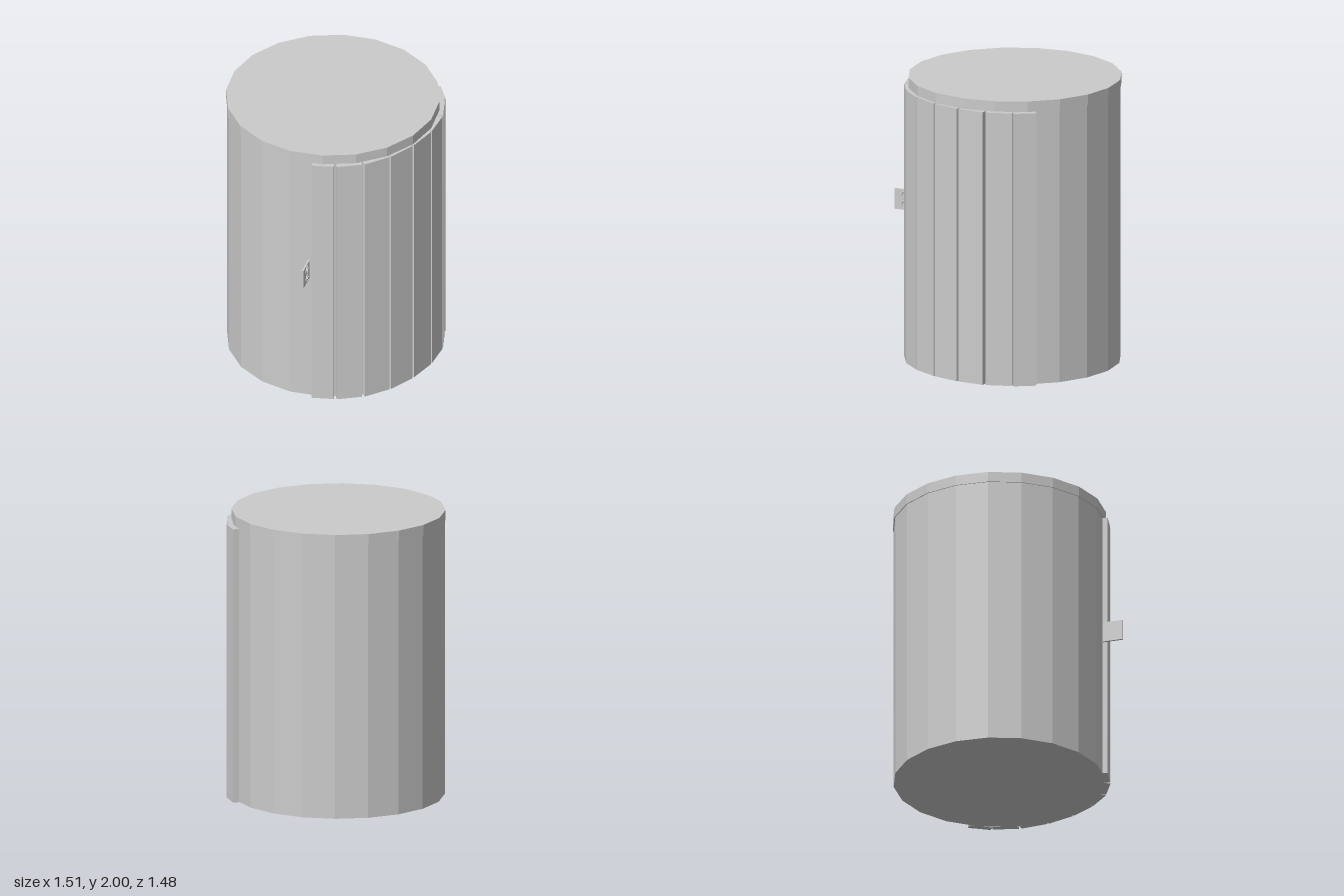
import * as THREE from 'three';

const material = new THREE.MeshStandardMaterial({ color: 0xcccccc, flatShading: true });

function add(parent, name, geometry, x = 0, y = 0, z = 0) {
  const mesh = new THREE.Mesh(geometry, material);
  mesh.name = name;
  mesh.position.set(x, y, z);
  parent.add(mesh);
  return mesh;
}

export function createModel() {
  const group = new THREE.Group();
  group.name = 'drum';
  const cx = 0.02, cz = -0.004, sides = 20;
  const lidBottom = 1.928;

  // Faceted drum with a slightly wider lid
  add(group, 'body', new THREE.CylinderGeometry(0.727, 0.727, lidBottom, sides), cx, lidBottom / 2, cz);
  add(group, 'lid', new THREE.CylinderGeometry(0.733, 0.733, 2 - lidBottom, sides), cx, (2 + lidBottom) / 2, cz);

  // Vertical slats around the front: outer edge of each as x, z to x, z
  const slats = [
    [-0.63, 0.38, -0.542, 0.502],
    [-0.53, 0.52, -0.392, 0.63],
    [-0.378, 0.642, -0.2, 0.71],
    [-0.19, 0.714, 0.005, 0.739],
    [0.02, 0.739, 0.217, 0.72],
    [0.23, 0.716, 0.408, 0.655],
    [0.425, 0.646, 0.568, 0.532],
    [0.582, 0.53, 0.674, 0.4],
  ];
  const thickness = 0.042;
  slats.forEach(([x0, z0, x1, z1], i) => {
    const length = Math.hypot(x1 - x0, z1 - z0);
    const inX = (z1 - z0) / length * thickness;
    const inZ = -(x1 - x0) / length * thickness;
    const outline = new THREE.Shape([
      new THREE.Vector2(x0, -z0),
      new THREE.Vector2(x1, -z1),
      new THREE.Vector2(x1 + inX, -z1 - inZ),
      new THREE.Vector2(x0 + inX, -z0 - inZ),
    ]);
    const geometry = new THREE.ExtrudeGeometry(outline, { depth: 1.925, bevelEnabled: false });
    geometry.rotateX(-Math.PI / 2);
    add(group, 'slat' + (i + 1), geometry);
  });

  // Small latch plate sticking out beside the slats
  const latch = new THREE.Group();
  latch.name = 'latch';
  latch.position.set(-0.685, 1.05, 0.373);
  latch.rotation.y = 0.42;
  group.add(latch);
  add(latch, 'latchPlate', new THREE.BoxGeometry(0.143, 0.144, 0.014));

  // Two rivets with raised rims on the plate
  for (const y of [-0.034, 0.034]) {
    add(latch, 'rivetRim', new THREE.TorusGeometry(0.026, 0.006, 6, 16), 0.008, y, 0.009);
    const rivet = add(latch, 'rivet', new THREE.CylinderGeometry(0.012, 0.015, 0.012, 12), 0.008, y, 0.011);
    rivet.rotation.x = Math.PI / 2;
  }
  return group;
}
